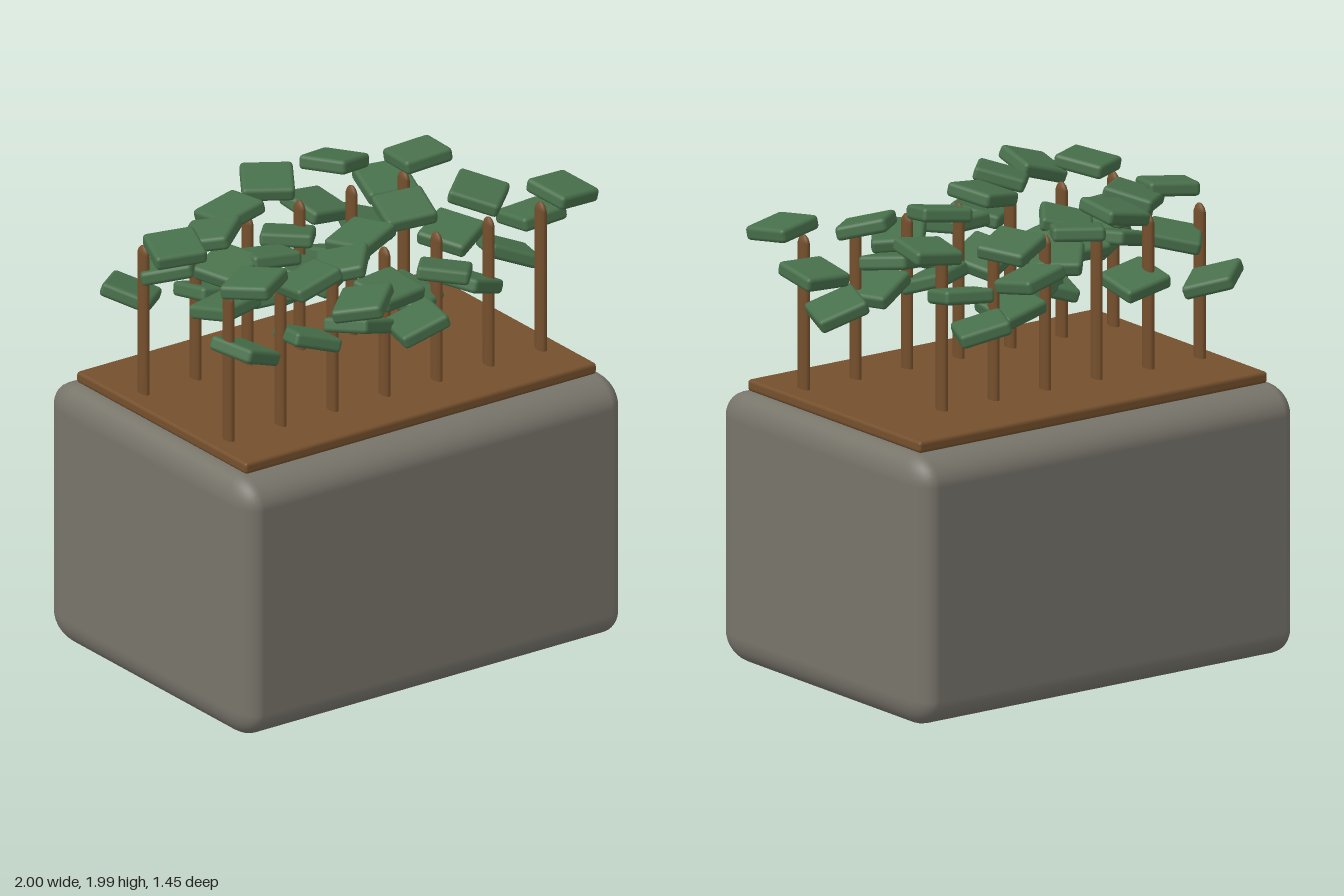
import * as THREE from 'three';
import { RoundedBoxGeometry } from 'three/addons/geometries/RoundedBoxGeometry.js';

const material = (name, color) => {
  const m = new THREE.MeshStandardMaterial({ color });
  m.name = name;
  return m;
};

export function createModel() {
  const stone = material('stone grey', 0x77746a);
  const brown = material('earth brown', 0x744f2c);
  const green = material('leaf green', 0x48704b);

  const model = new THREE.Group();
  model.name = 'planter';
  const add = (name, geometry, mat, x, y, z, parent = model) => {
    const mesh = new THREE.Mesh(geometry, mat);
    mesh.name = name;
    mesh.position.set(x, y, z);
    parent.add(mesh);
    return mesh;
  };

  // Rounded box whose corner radius differs along each axis
  const softBox = (w, h, d, rx, ry, rz, segments) =>
    new RoundedBoxGeometry(w / rx, h / ry, d / rz, segments, 1).scale(rx, ry, rz);

  // Stone trough and soil slab
  add('trough', softBox(1.955, 1.165, 1.45, 0.085, 0.12, 0.155, 4), stone, -0.0225, 0.5825, 0);
  add('soil', softBox(1.8, 0.05, 1.2, 0.012, 0.016, 0.012, 2), brown, -0.02, 1.19, 0);

  // Stems: flattened rods with a rounded tip
  const stemProfile = [[0.018, 0], [0.018, 0.645], [0.014, 0.665], [0.007, 0.678], [0, 0.682]]
    .map(([r, y]) => new THREE.Vector2(r, y));
  const stemGeometry = new THREE.LatheGeometry(stemProfile, 12).scale(1, 1, 1.95);

  // Leaves per stem, from low to high: x, z, turn in degrees, slope along x, slope along z
  const frontRow = [
    [[-0.75, 0.36, 15, -0.4, 0.05], [-0.75, 0.22, 12, 0.08, 0.2], [-0.74, 0.41, 30, 0.12, 0.1]],
    [[-0.46, 0.40, -10, -0.35, 0.1], [-0.48, 0.21, -35, 0.15, 0.2], [-0.54, 0.52, -5, 0.3, 0.2]],
    [[-0.21, 0.42, 20, -0.25, 0.3], [-0.27, 0.53, 40, 0.25, 0.1], [-0.33, 0.46, 48, 0.25, 0.1]],
    [[0.0, 0.54, -12, 0.35, 0.05], [-0.10, 0.48, 8, 0, -0.15], [-0.10, 0.28, 17, 0.2, 0.05]],
    [[0.15, 0.28, 25, -0.15, -0.3], [0.20, 0.46, -40, -0.2, 0.1], [0.22, 0.15, -17, 0.15, -0.15]],
    [[0.43, 0.31, 20, -0.35, 0.1], [0.46, 0.15, 28, 0.1, -0.2], [0.57, 0.19, 42, -0.1, -0.25]],
    [[0.75, 0.15, -20, -0.4, 0], [0.84, 0.19, 0, 0.05, 0.15], [0.87, 0.37, 10, -0.13, -0.1]],
  ];
  const backRow = [
    [[-0.77, -0.42, 40, -0.3, -0.15], [-0.71, -0.24, -38, 0.1, 0.2], [-0.79, -0.08, -20, 0.1, -0.1]],
    [[-0.50, -0.24, 0, -0.2, 0.2], [-0.50, -0.10, 20, 0.2, -0.15], [-0.59, -0.11, 38, 0.2, 0.15]],
    [[-0.17, -0.08, -20, 0.25, 0.15], [-0.31, -0.09, -10, -0.1, 0.2], [-0.38, -0.26, 2, 0.2, 0.1]],
    [[-0.06, -0.11, 35, -0.2, -0.2], [-0.11, -0.22, -40, -0.15, 0.15], [-0.07, -0.42, -33, 0.1, -0.15]],
    [[0.15, -0.25, 5, -0.2, 0.25], [0.17, -0.41, 8, -0.2, -0.15], [0.28, -0.43, 25, -0.15, 0.15]],
    [[0.45, -0.45, -25, -0.25, -0.1], [0.55, -0.44, -15, 0.1, -0.2], [0.60, -0.28, -8, 0.1, 0.1]],
  ];
  const leafGeometry = new RoundedBoxGeometry(0.222, 0.062, 0.222, 2, 0.018);
  const levels = [1.6, 1.755, 1.92];
  const up = new THREE.Vector3(0, 1, 0);

  const plantRow = (name, rows, z) => rows.forEach((leaves, i) => {
    const plant = new THREE.Group();
    plant.name = name;
    model.add(plant);
    add('stem', stemGeometry, brown, -0.825 + 0.267 * i, 1.2, z, plant);
    leaves.forEach(([x, leafZ, turn, slopeX, slopeZ], level) => {
      const leaf = add('leaf', leafGeometry, green, x, levels[level], leafZ, plant);
      const normal = new THREE.Vector3(-slopeX, 1, -slopeZ).normalize();
      const spin = new THREE.Quaternion().setFromAxisAngle(up, THREE.MathUtils.degToRad(turn));
      leaf.quaternion.setFromUnitVectors(up, normal).multiply(spin);
    });
  });
  plantRow('frontPlant', frontRow, 0.345);
  plantRow('backPlant', backRow, -0.255);

  return model;
}
